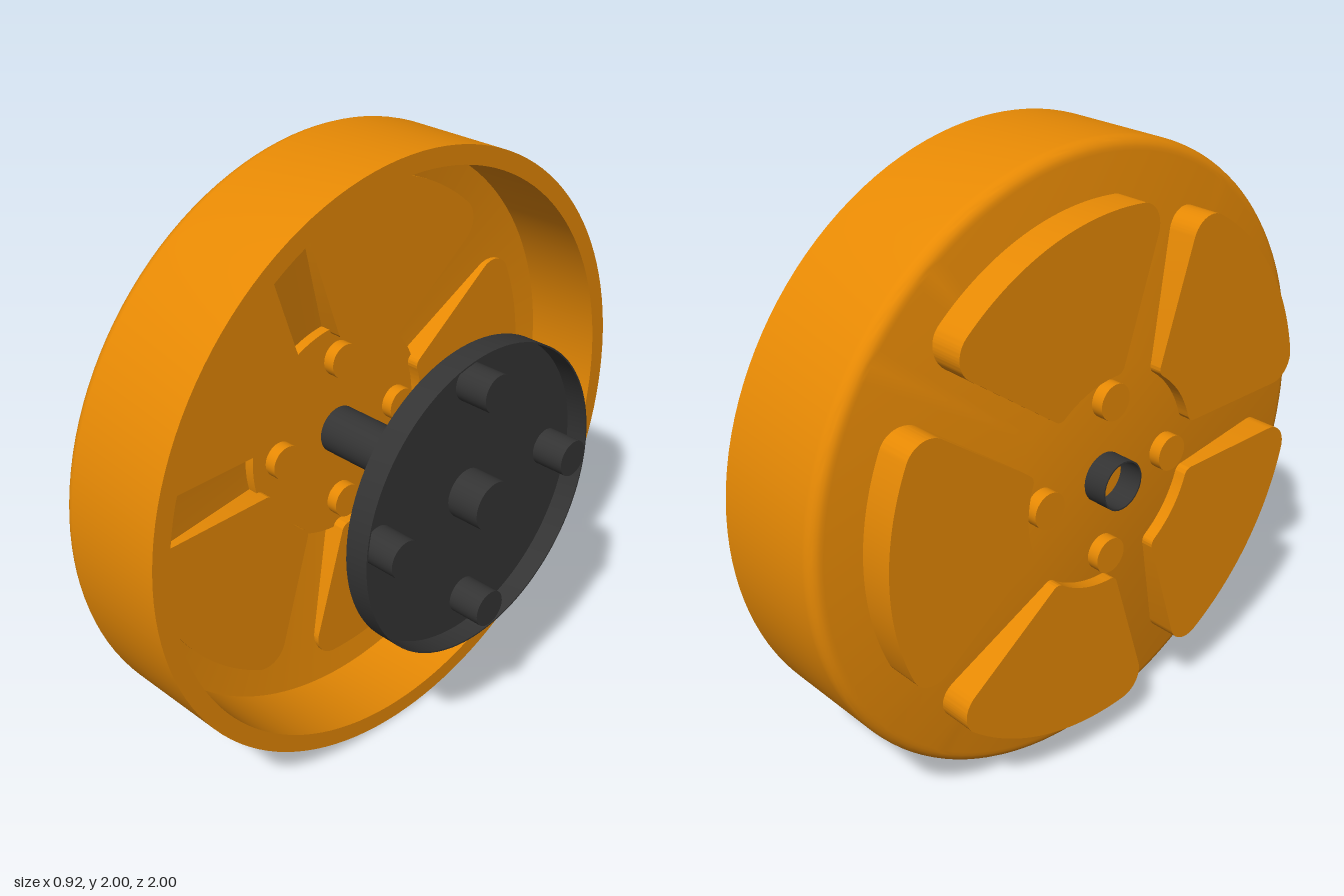
import * as THREE from 'three';
import { toCreasedNormals } from 'three/addons/utils/BufferGeometryUtils.js';

const orange = new THREE.MeshStandardMaterial({ color: 0xe88a04 });
orange.name = 'orange';
const charcoal = new THREE.MeshStandardMaterial({ color: 0x343434 });
charcoal.name = 'charcoal';

export function createModel() {
  const model = new THREE.Group();
  model.name = 'wheel';
  model.position.y = 1; // the axle runs along x at this height

  const add = (name, geometry, material) => {
    const mesh = new THREE.Mesh(geometry, material);
    mesh.name = name;
    model.add(mesh);
    return mesh;
  };

  // Turned part around the x axis; profile points are [radius, x]
  const turned = (name, profile, material, segments = 96) => {
    const geo = new THREE.LatheGeometry(profile.map(([r, x]) => new THREE.Vector2(r, x)), segments);
    geo.rotateZ(-Math.PI / 2);
    return add(name, toCreasedNormals(geo, 0.5), material);
  };

  // Solid round pin along x
  const pin = (name, radius, x0, x1, y, z, material) => {
    const geo = new THREE.CylinderGeometry(radius, radius, x1 - x0, 32);
    geo.rotateZ(-Math.PI / 2);
    add(name, geo, material).position.set((x0 + x1) / 2, y, z);
  };

  // Drum: flat hub, shallow cone, rounded shoulder, open rim, sloping inner floor and raised inner hub
  const shoulder = [];
  for (let i = 0; i <= 6; i++) {
    const a = (i / 6) * Math.PI / 2;
    shoulder.push([0.96 + 0.04 * Math.sin(a), -0.25 - 0.042 * Math.cos(a)]);
  }
  turned('drum', [
    [0, -0.38], [0.37, -0.38], ...shoulder, [1, 0.11],
    [0.94, 0.11], [0.94, -0.155], [0.37, -0.235], [0.37, -0.2], [0, -0.2],
  ], orange, 128);

  // Five wedge pads, standing proud on both sides of the drum face
  const H = Math.PI / 5, Q = Math.PI / 2;
  const R = 0.845, r = 0.345, gap = 0.083, c = 0.08, d = 0.03;
  const a1 = H - Math.asin((gap + c) / (R - c));
  const a2 = H - Math.asin((gap + d) / (r + d));
  const wedge = new THREE.Shape();
  const corner = (dist, angle, radius, from, to) =>
    wedge.absarc(dist * Math.cos(angle), dist * Math.sin(angle), radius, from, to, false);
  wedge.absarc(0, 0, R, -a1, a1, false);
  corner(R - c, a1, c, a1, H + Q);
  corner(r + d, a2, d, H + Q, a2 + Math.PI);
  wedge.absarc(0, 0, r, a2, -a2, true);
  corner(r + d, -a2, d, Math.PI - a2, 3 * Q - H);
  corner(R - c, -a1, c, -H - Q, -a1);
  for (let i = 0; i < 5; i++) {
    const geo = new THREE.ExtrudeGeometry(wedge, { depth: 0.262, bevelEnabled: false, curveSegments: 16 });
    geo.rotateZ(Math.PI + H + i * 2 * H);
    geo.rotateY(Math.PI / 2);
    geo.translate(-0.42, 0, 0);
    add('wedgePad', toCreasedNormals(geo, 0.5), orange);
  }

  // Hub bolts and mounting plate pins, four of each
  for (let i = 0; i < 4; i++) {
    const y = Math.cos(i * Q), z = Math.sin(i * Q);
    pin('hubBolt', 0.058, -0.42, -0.16, 0.26 * y, 0.26 * z, orange);
    pin('platePin', 0.06, 0.3, 0.46, 0.38 * y, 0.38 * z, charcoal);
  }

  // Axle with a hollow collar at the far end
  pin('axle', 0.08, -0.37, 0.46, 0, 0, charcoal);
  turned('axleCollar', [
    [0.08, -0.37], [0.075, -0.37], [0.075, -0.46], [0.08, -0.46], [0.08, -0.37],
  ], charcoal, 32);

  // Mounting plate: a shallow dish with a thin wall, open to +x
  turned('mountingPlate', [
    [0, 0.34], [0.5, 0.34], [0.5, 0.42], [0.495, 0.42], [0.495, 0.348], [0, 0.348],
  ], charcoal);

  const root = new THREE.Group();
  root.name = 'wheelAssembly';
  root.add(model);
  return root;
}
